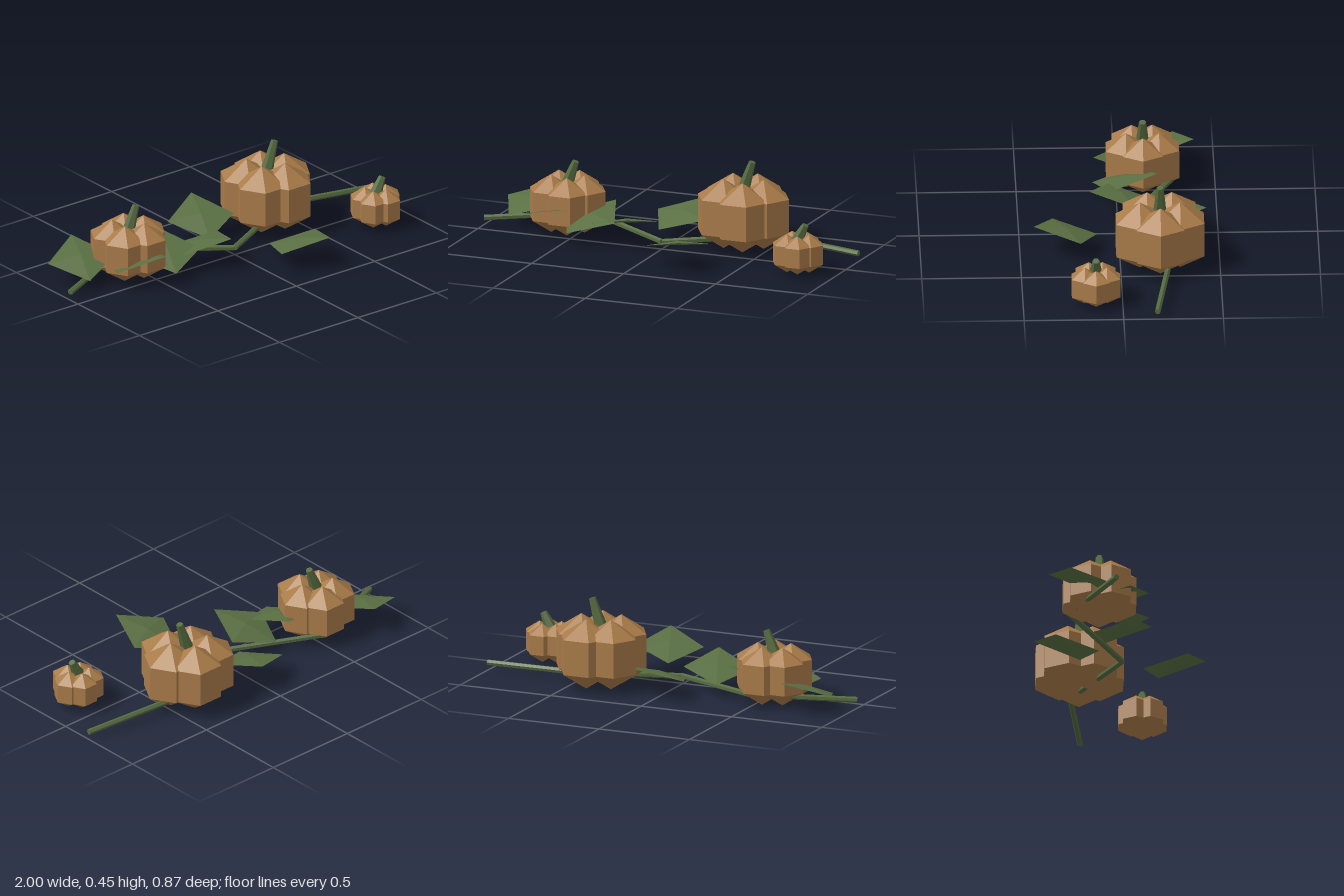
import * as THREE from 'three';

const gourdSkin = new THREE.MeshStandardMaterial({ color: 0xa97b49, flatShading: true });
gourdSkin.name = 'gourd skin';
const vineGreen = new THREE.MeshStandardMaterial({ color: 0x566b40, flatShading: true });
vineGreen.name = 'vine green';
const leafGreen = new THREE.MeshStandardMaterial({ color: 0x5a6f43, flatShading: true, side: THREE.DoubleSide });
leafGreen.name = 'leaf green';

const UP = new THREE.Vector3(0, 1, 0);

// Tapered rod between two points
function rod(name, a, b, rA, rB, sides) {
  const from = new THREE.Vector3(...a), to = new THREE.Vector3(...b);
  const dir = to.clone().sub(from);
  const mesh = new THREE.Mesh(new THREE.CylinderGeometry(rB, rA, dir.length(), sides), vineGreen);
  mesh.name = name;
  mesh.position.copy(from).add(to).multiplyScalar(0.5);
  mesh.quaternion.setFromUnitVectors(UP, dir.normalize());
  return mesh;
}

// Ring of five faceted lobes with a leaning stem
function pumpkin(x, y, z, s, stemTop) {
  const group = new THREE.Group();
  group.name = 'pumpkin';
  const lobeGeometry = new THREE.SphereGeometry(0.16 * s, 6, 3);
  for (let i = 0; i < 5; i++) {
    const a = (i / 5) * Math.PI * 2;
    const lobe = new THREE.Mesh(lobeGeometry, gourdSkin);
    lobe.name = 'lobe';
    lobe.scale.y = 1.125;
    lobe.position.set(x + Math.cos(a) * 0.106 * s, y, z + Math.sin(a) * 0.106 * s);
    group.add(lobe);
  }
  group.add(rod('stem', [x - 0.01, y + 0.1 * s, z], [stemTop[0], stemTop[1], z], 0.034, 0.018, 6));
  return group;
}

// Four-sided leaf with a raised middle; facing = 1 lifts its tip to the front, -1 to the back
function leaf(x, z, facing) {
  const c = [0, 0.137, 0];
  const rim = [
    [0.067, 0.174, 0.163 * facing],
    [0.155, 0.118, -0.072 * facing],
    [-0.067, 0.067, -0.16 * facing],
    [-0.162, 0.11, 0.062 * facing],
  ];
  const points = [];
  for (let i = 0; i < 4; i++) {
    const p = rim[i], q = rim[(i + 1) % 4];
    points.push(...c, ...(facing > 0 ? p : q), ...(facing > 0 ? q : p));
  }
  const geometry = new THREE.BufferGeometry();
  geometry.setAttribute('position', new THREE.Float32BufferAttribute(points, 3));
  geometry.computeVertexNormals();
  const mesh = new THREE.Mesh(geometry, leafGreen);
  mesh.name = 'leaf';
  mesh.position.set(x, 0, z);
  return mesh;
}

export function createModel() {
  const model = new THREE.Group();
  model.name = 'pumpkinPatch';

  // Pumpkins
  model.add(pumpkin(0.364, 0.184, -0.198, 1, [0.409, 0.45]));
  model.add(pumpkin(-0.565, 0.153, -0.135, 0.83, [-0.525, 0.37]));
  model.add(pumpkin(0.797, 0.106, 0.135, 0.55, [0.835, 0.252]));

  // Vine crawling along the ground
  const path = [[-0.995, 0.044, -0.068], [-0.5, 0.068, -0.285], [0, 0.042, 0], [0.5, 0.066, -0.24], [0.998, 0.044, -0.17]];
  const vine = new THREE.Group();
  vine.name = 'vine';
  for (let i = 0; i < path.length - 1; i++) {
    vine.add(rod('vineSegment', path[i], path[i + 1], 0.015, 0.015, 6));
  }
  model.add(vine);

  // Leaves alternating along the vine
  const leaves = [[-0.797, -0.235], [-0.597, -0.05], [-0.4, -0.04], [-0.2, -0.02], [0, -0.277], [0.2, 0.27]];
  leaves.forEach(([x, z], i) => model.add(leaf(x, z, i % 2 ? 1 : -1)));

  return model;
}
